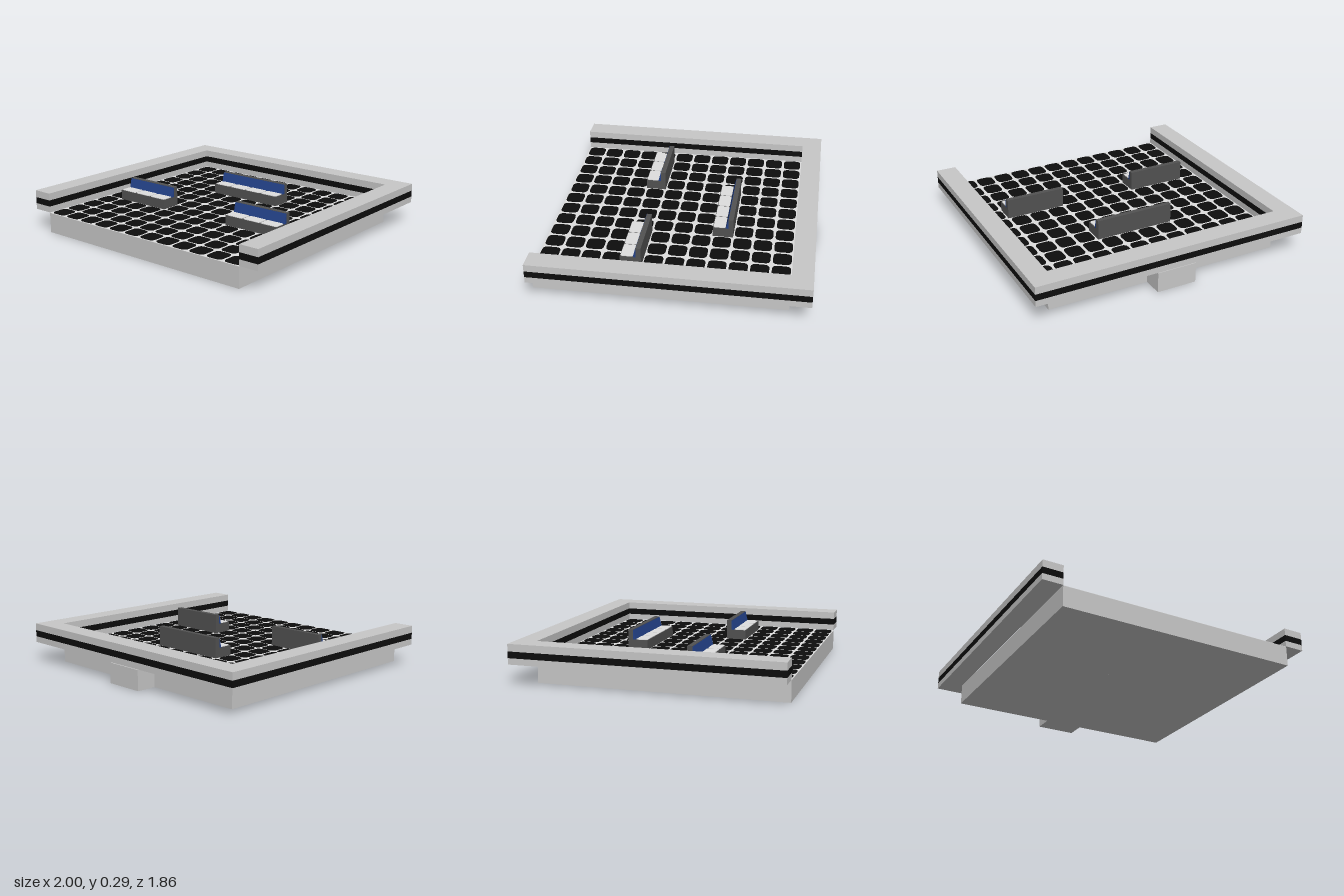
import * as THREE from 'three';

const U = 1 / 7;            // grid module
const FLOOR = U;            // floor top
const TOP = 2 * U;          // wall top
const FRONT = 6.5 * U, BACK = -6.5 * U;

const mat = (name, color) => {
  const m = new THREE.MeshStandardMaterial({ color });
  m.name = name;
  return m;
};

export function createModel() {
  const grey = mat('light grey', 0xc8c8c8);
  const white = mat('white', 0xdedede);
  const black = mat('black', 0x0d0d0d);
  const dark = mat('dark grey', 0x525252);
  const blue = mat('blue', 0x24428a);

  const model = new THREE.Group();
  model.name = 'walledPlatform';

  const group = (name, parent = model) => {
    const g = new THREE.Group();
    g.name = name;
    parent.add(g);
    return g;
  };

  // Box given by its minimum and maximum on each axis
  const box = (parent, name, material, [x0, x1], [y0, y1], [z0, z1]) => {
    const mesh = new THREE.Mesh(new THREE.BoxGeometry(x1 - x0, y1 - y0, z1 - z0), material);
    mesh.position.set((x0 + x1) / 2, (y0 + y1) / 2, (z0 + z1) / 2);
    mesh.name = name;
    parent.add(mesh);
  };

  // Thin flat plate with rounded corners, lying on y = 0
  const roundedPlate = (w, d, r, h) => {
    const s = new THREE.Shape(), a = w / 2, b = d / 2;
    s.moveTo(-a + r, -b);
    s.lineTo(a - r, -b).quadraticCurveTo(a, -b, a, -b + r);
    s.lineTo(a, b - r).quadraticCurveTo(a, b, a - r, b);
    s.lineTo(-a + r, b).quadraticCurveTo(-a, b, -a, b - r);
    s.lineTo(-a, -b + r).quadraticCurveTo(-a, -b, -a + r, -b);
    return new THREE.ExtrudeGeometry(s, { depth: h, bevelEnabled: false, curveSegments: 4 }).rotateX(-Math.PI / 2);
  };

  // Base planks; the middle one reaches out at the back
  const base = group('base');
  const seams = [-6, -5, -3, -1, 1, 3, 5, 6];
  for (let i = 0; i < seams.length - 1; i++) {
    const z0 = seams[i] === -1 ? BACK : BACK + U;
    box(base, 'plank', grey, [seams[i] * U, seams[i + 1] * U], [0, FLOOR], [z0, FRONT]);
  }

  // Pale joint layer with black floor tiles
  const floor = group('floor');
  box(floor, 'tileJoints', white, [-6 * U, 6 * U], [FLOOR, FLOOR + 0.002], [BACK + U, FRONT]);
  const tileGeo = roundedPlate(0.122, 0.126, 0.036, 0.003);
  for (let i = 0; i < 12; i++) {
    for (let j = 0; j < 12; j++) {
      const tile = new THREE.Mesh(tileGeo, black);
      tile.position.set((i - 5.5) * U, FLOOR + 0.002, (j - 5) * U);
      tile.name = 'floorTile';
      floor.add(tile);
    }
  }

  // Walls in three layers, with a black band through the middle
  const wall = (name, xs, zs) => {
    const g = group(name);
    box(g, 'wallBottom', grey, xs, [FLOOR + 0.004, 0.19], zs);
    box(g, 'wallBand', black, xs, [0.19, 0.235], zs);
    box(g, 'wallTop', grey, xs, [0.235, TOP], zs);
  };
  wall('leftWall', [6 * U, 7 * U], [BACK, FRONT]);
  wall('rightWall', [-7 * U, -6 * U], [BACK, FRONT]);
  wall('backWall', [-6 * U, 6 * U], [BACK, BACK + U]);

  // Bench: dark body, sloped blue backrest, one pale seat per module
  const SEAT = 0.214;
  const seatGeo = roundedPlate(0.134, 0.084, 0.014, 0.004);
  const bench = (name, x, z, seats) => {
    const g = group(name), w = seats * U;
    g.position.set(x, 0, z);
    box(g, 'benchBody', dark, [-w / 2, w / 2], [FLOOR, SEAT], [0, U]);
    box(g, 'benchBack', dark, [-w / 2, w / 2], [SEAT, TOP], [0, 0.035]);
    const profile = new THREE.Shape();
    profile.moveTo(0.035, SEAT);
    profile.lineTo(0.054, SEAT);
    profile.lineTo(0.037, TOP - 0.003);
    profile.lineTo(0.035, TOP - 0.003);
    const geo = new THREE.ExtrudeGeometry(profile, { depth: w, bevelEnabled: false });
    geo.rotateY(-Math.PI / 2).translate(w / 2, 0, 0);
    const rest = new THREE.Mesh(geo, blue);
    rest.name = 'backrest';
    g.add(rest);
    for (let i = 0; i < seats; i++) {
      const seat = new THREE.Mesh(seatGeo, white);
      seat.position.set((i - (seats - 1) / 2) * U, SEAT, 0.097);
      seat.name = 'seat';
      g.add(seat);
    }
  };
  bench('rearBench', 0, -2.5 * U, 4);
  bench('frontLeftBench', 3.5 * U, 1.5 * U, 3);
  bench('frontRightBench', -3.5 * U, 1.5 * U, 3);

  return model;
}
